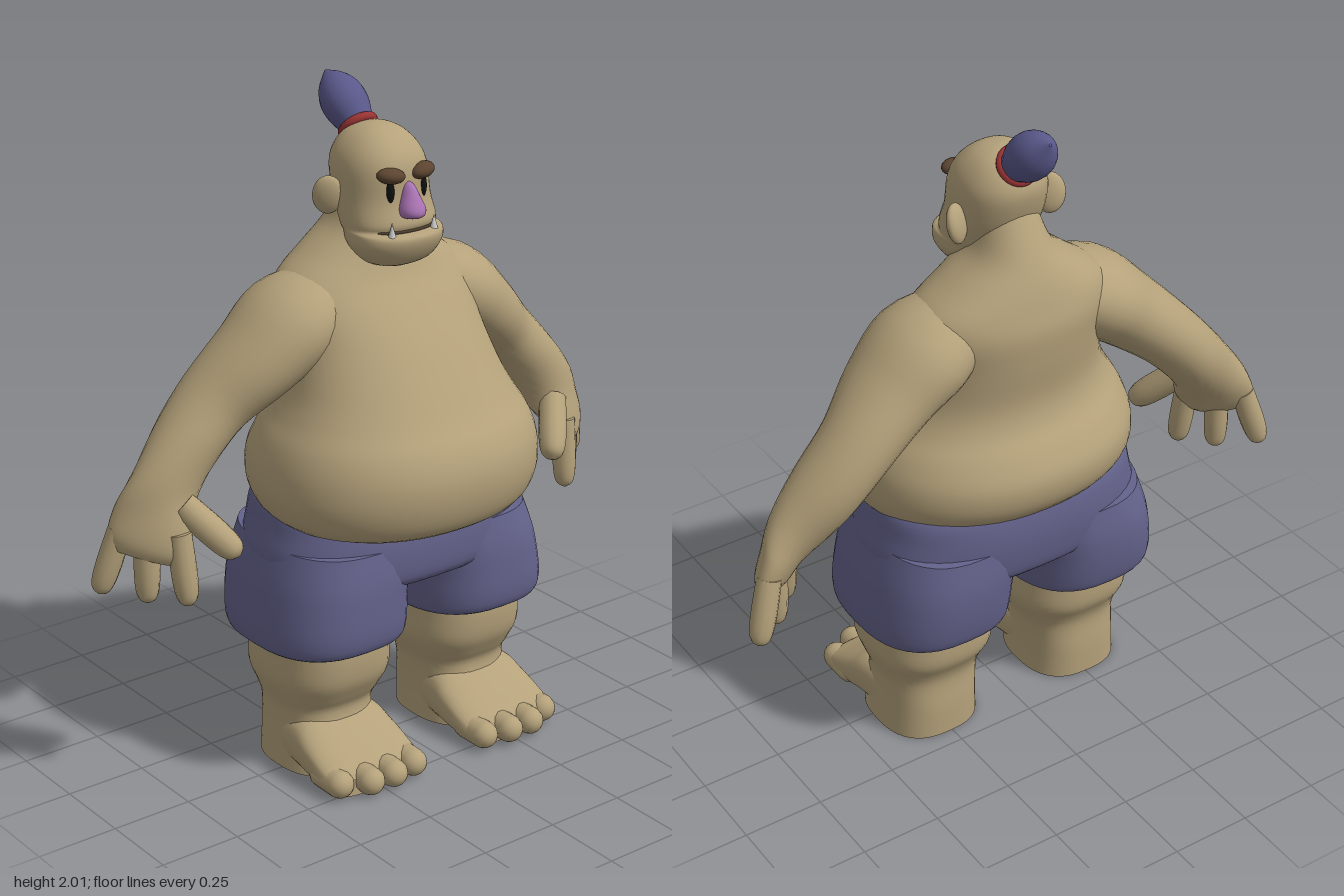
import * as THREE from 'three';

const V = (x, y, z) => new THREE.Vector3(x, y, z);
const mat = (color) => new THREE.MeshStandardMaterial({ color });

// Catmull-Rom interpolation of whole rings (arrays of numbers)
function refine(rings, steps) {
  const out = [], last = rings.length - 1;
  for (let i = 0; i < last; i++) {
    const [a, b, c, d] = [i - 1, i, i + 1, i + 2].map((k) => rings[Math.min(last, Math.max(0, k))]);
    for (let s = 0; s < steps; s++) {
      const t = s / steps;
      out.push(b.map((_, k) => b[k] + 0.5 * t * (c[k] - a[k]
        + t * (2 * a[k] - 5 * b[k] + 4 * c[k] - d[k] + t * (3 * (b[k] - c[k]) + d[k] - a[k])))));
    }
  }
  out.push(rings[last]);
  return out;
}

// Skin over superelliptic sections {c, u, v, n}, with u x v along the path, capped at both ends
function skin(sections, sides) {
  const pos = [], idx = [];
  const ring = ({ c, u, v, n }) => {
    const start = pos.length / 3;
    for (let j = 0; j < sides; j++) {
      const a = (j / sides) * Math.PI * 2, p = 2 / n;
      const f = (w) => Math.sign(w) * Math.abs(w) ** p;
      pos.push(...c.clone().addScaledVector(u, f(Math.cos(a))).addScaledVector(v, f(Math.sin(a))).toArray());
    }
    return start;
  };
  const starts = sections.map(ring);
  for (let i = 0; i + 1 < starts.length; i++) {
    for (let j = 0; j < sides; j++) {
      const k = (j + 1) % sides, a = starts[i], b = starts[i + 1];
      idx.push(a + j, a + k, b + j, a + k, b + k, b + j);
    }
  }
  [[sections[0], true], [sections[sections.length - 1], false]].forEach(([s, flip]) => {
    const st = ring(s), mid = pos.length / 3;
    pos.push(...s.c.toArray());
    for (let j = 0; j < sides; j++) {
      const k = (j + 1) % sides;
      idx.push(mid, st + (flip ? k : j), st + (flip ? j : k));
    }
  });
  const g = new THREE.BufferGeometry();
  g.setAttribute('position', new THREE.Float32BufferAttribute(pos, 3));
  g.setIndex(idx);
  g.computeVertexNormals();
  return g;
}

// Upright body: rings [y, centreX, halfWidth, zFront, zBack]
const upright = (rings, n = 2.2, sides = 40) => skin(refine(rings, 4).map(([y, x, w, f, b]) => ({
  c: V(x, y, (f + b) / 2), u: V(0, 0, (f - b) / 2), v: V(w, 0, 0), n,
})), sides);

// Limb along a path: rings [x, y, z, radiusInPlane, radiusInDepth, twist]
function limb(rings, sides = 20) {
  const r = refine(rings, 4), last = r.length - 1;
  return skin(r.map(([x, y, z, ru, rv, tw], i) => {
    const t = V(...r[Math.min(last, i + 1)]).sub(V(...r[Math.max(0, i - 1)])).normalize();
    const u0 = V(0, 0, 1).cross(t).normalize(), v0 = t.clone().cross(u0);
    const c = Math.cos(tw), s = Math.sin(tw);
    return {
      c: V(x, y, z), n: 2,
      u: u0.clone().multiplyScalar(c).addScaledVector(v0, -s).multiplyScalar(ru),
      v: v0.clone().multiplyScalar(c).addScaledVector(u0, s).multiplyScalar(rv),
    };
  }), sides);
}

// Rounded finger from a to b
function finger(a, b, r) {
  const at = (k, q) => [...a.map((v, i) => v + (b[i] - v) * k), r * q, r * q, 0];
  return limb([at(0, 1), at(0.5, 1.05), at(0.8, 0.95), at(0.94, 0.68), at(1, 0.15)], 12);
}

function ellipsoid(p, r, rot = [0, 0, 0]) {
  return new THREE.SphereGeometry(1, 20, 14).scale(...r)
    .applyMatrix4(new THREE.Matrix4().makeRotationFromEuler(new THREE.Euler(...rot))).translate(...p);
}

function mirrored(geo) {
  const g = geo.clone().applyMatrix4(new THREE.Matrix4().makeScale(-1, 1, 1));
  const ix = g.index;
  for (let i = 0; i < ix.count; i += 3) {
    const a = ix.getX(i);
    ix.setX(i, ix.getX(i + 1));
    ix.setX(i + 1, a);
  }
  return g;
}

export function createModel() {
  const model = new THREE.Group();
  const skinMat = mat(0xb5a27b), cloth = mat(0x64638c), hairMat = mat(0x59588a);
  const add = (name, geo, m) => {
    const mesh = new THREE.Mesh(geo, m);
    mesh.name = name;
    model.add(mesh);
  };
  const pair = (name, geo, m) => {
    add(name + 'Left', geo, m);
    add(name + 'Right', mirrored(geo), m);
  };

  // Torso with overhanging belly, rising into the neck
  add('torso', upright([
    [0.75, 0, 0.25, 0.26, -0.20], [0.785, 0, 0.39, 0.335, -0.29], [0.86, 0, 0.44, 0.372, -0.36],
    [0.95, 0, 0.44, 0.38, -0.378], [1.03, 0, 0.415, 0.355, -0.345], [1.1, 0, 0.375, 0.305, -0.3],
    [1.18, 0, 0.34, 0.255, -0.285], [1.3, 0, 0.315, 0.18, -0.3], [1.4, 0, 0.315, 0.11, -0.308],
    [1.47, 0, 0.29, 0.06, -0.295], [1.54, 0, 0.2, 0.03, -0.275], [1.61, 0, 0.12, 0.01, -0.245],
    [1.7, 0, 0.085, -0.01, -0.2], [1.76, 0, 0.06, -0.03, -0.17],
  ], 2.2, 56), skinMat);

  // Head with jutting lower jaw
  add('head', upright([
    [1.503, 0, 0.04, 0.05, -0.02], [1.525, 0, 0.105, 0.095, -0.06], [1.57, 0, 0.14, 0.125, -0.1],
    [1.606, 0, 0.143, 0.13, -0.12], [1.618, 0, 0.14, 0.098, -0.13], [1.64, 0, 0.14, 0.1, -0.145],
    [1.7, 0, 0.136, 0.082, -0.18], [1.78, 0, 0.132, 0.075, -0.203], [1.83, 0, 0.115, 0.055, -0.195],
    [1.87, 0, 0.083, 0.015, -0.165], [1.892, 0, 0.045, -0.025, -0.12], [1.9, 0, 0.005, -0.07, -0.08],
  ], 2.3), skinMat);
  add('mouthLine', new THREE.TubeGeometry(new THREE.CatmullRomCurve3(
    [[-0.12, 0.04], [-0.08, 0.083], [0, 0.1], [0.08, 0.083], [0.12, 0.04]].map(([x, z]) => V(x, 1.618, z))),
    24, 0.005, 6), mat(0x4a3c2c));
  pair('ear', ellipsoid([0.155, 1.705, -0.095], [0.045, 0.06, 0.022], [0.25, 0.55, -0.15]), skinMat);
  pair('eyebrow', ellipsoid([0.056, 1.778, 0.068], [0.043, 0.023, 0.03], [0, 0.25, 0.12]), mat(0x5c4430));
  pair('eye', ellipsoid([0.058, 1.732, 0.066], [0.012, 0.034, 0.014]), mat(0x111111));
  add('nose', upright([
    [1.652, 0, 0.01, 0.1, 0.06], [1.66, 0, 0.034, 0.128, 0.05], [1.68, 0, 0.04, 0.133, 0.05],
    [1.715, 0, 0.028, 0.115, 0.05], [1.745, 0, 0.016, 0.098, 0.05], [1.756, 0, 0.004, 0.08, 0.06],
  ], 2, 20), mat(0xaa74b4));
  pair('tusk', new THREE.ConeGeometry(0.017, 0.06, 12).translate(0.075, 1.622, 0.098), mat(0xcccccc));

  // Tied-up hair
  add('hairTie', new THREE.TorusGeometry(0.048, 0.014, 10, 32).rotateX(Math.PI / 2)
    .rotateX(-Math.PI / 4).translate(0, 1.867, -0.158), mat(0x9c3434));
  add('topknot', limb([
    [0, 1.85, -0.14, 0.048, 0.048, 0], [0, 1.872, -0.163, 0.051, 0.051, 0], [0, 1.907, -0.202, 0.066, 0.066, 0],
    [0, 1.94, -0.24, 0.066, 0.066, 0], [0, 1.97, -0.276, 0.046, 0.046, 0], [0, 1.998, -0.312, 0.004, 0.004, 0],
  ]), hairMat);

  // Arms ending in a flattened, turned palm
  pair('arm', limb([
    [0.15, 1.41, -0.11, 0.1, 0.13, 0], [0.28, 1.355, -0.11, 0.13, 0.175, 0], [0.395, 1.265, -0.12, 0.118, 0.158, 0],
    [0.52, 1.155, -0.15, 0.103, 0.125, 0], [0.625, 1.045, -0.15, 0.098, 0.11, 0.1],
    [0.705, 0.945, -0.135, 0.1, 0.085, 0.35], [0.755, 0.86, -0.12, 0.118, 0.062, 0.7],
    [0.79, 0.79, -0.115, 0.115, 0.048, 0.76], [0.803, 0.755, -0.115, 0.09, 0.03, 0.76],
  ], 28), skinMat);
  [[[0.72, 0.83, -0.05], [0.71, 0.61, -0.025]], [[0.787, 0.82, -0.115], [0.79, 0.61, -0.115]],
    [[0.835, 0.83, -0.175], [0.895, 0.635, -0.205]]]
    .forEach(([a, b], i) => pair('finger' + (i + 1), finger(a, b, 0.036), skinMat));
  pair('thumb', finger([0.69, 0.9, -0.07], [0.585, 0.76, 0.055], 0.042), skinMat);

  // Shorts: hips and two wide trouser legs
  add('shortsHips', upright([
    [0.57, 0, 0.3, 0.17, -0.26], [0.6, 0, 0.42, 0.225, -0.31], [0.68, 0, 0.445, 0.238, -0.33],
    [0.76, 0, 0.425, 0.232, -0.335], [0.83, 0, 0.405, 0.21, -0.325], [0.87, 0, 0.36, 0.18, -0.3],
  ], 2.5, 48), cloth);
  pair('shortsLeg', upright([
    [0.405, 0.255, 0.195, 0.18, -0.26], [0.42, 0.257, 0.228, 0.222, -0.3], [0.47, 0.257, 0.233, 0.238, -0.318],
    [0.55, 0.25, 0.228, 0.24, -0.33], [0.63, 0.235, 0.225, 0.236, -0.332], [0.72, 0.21, 0.22, 0.22, -0.32],
  ], 2.6), cloth);

  // Legs and feet
  pair('leg', upright([
    [0, 0.26, 0.155, 0.14, -0.198], [0.1, 0.258, 0.15, 0.13, -0.198], [0.19, 0.255, 0.153, 0.112, -0.193],
    [0.24, 0.252, 0.17, 0.135, -0.205], [0.3, 0.25, 0.19, 0.165, -0.235], [0.38, 0.25, 0.185, 0.175, -0.24],
    [0.46, 0.25, 0.18, 0.17, -0.235],
  ], 2.6), skinMat);
  pair('foot', skin(refine([
    [-0.08, 0.14, 0.19], [0.06, 0.158, 0.19], [0.13, 0.166, 0.155],
    [0.2, 0.168, 0.115], [0.25, 0.162, 0.088], [0.275, 0.14, 0.06],
  ], 4).map(([z, w, h]) => ({ c: V(0.26, h / 2, z), u: V(w, 0, 0), v: V(0, h / 2, 0), n: 2.8 })), 32), skinMat);
  [[0.137, 0.32], [0.222, 0.337], [0.305, 0.335], [0.388, 0.295]].forEach(([x, tip], i) => pair('toe' + (i + 1),
    new THREE.CapsuleGeometry(0.042, 0.08, 6, 14).rotateX(Math.PI / 2).translate(x, 0.045, tip - 0.082), skinMat));

  return model;
}
